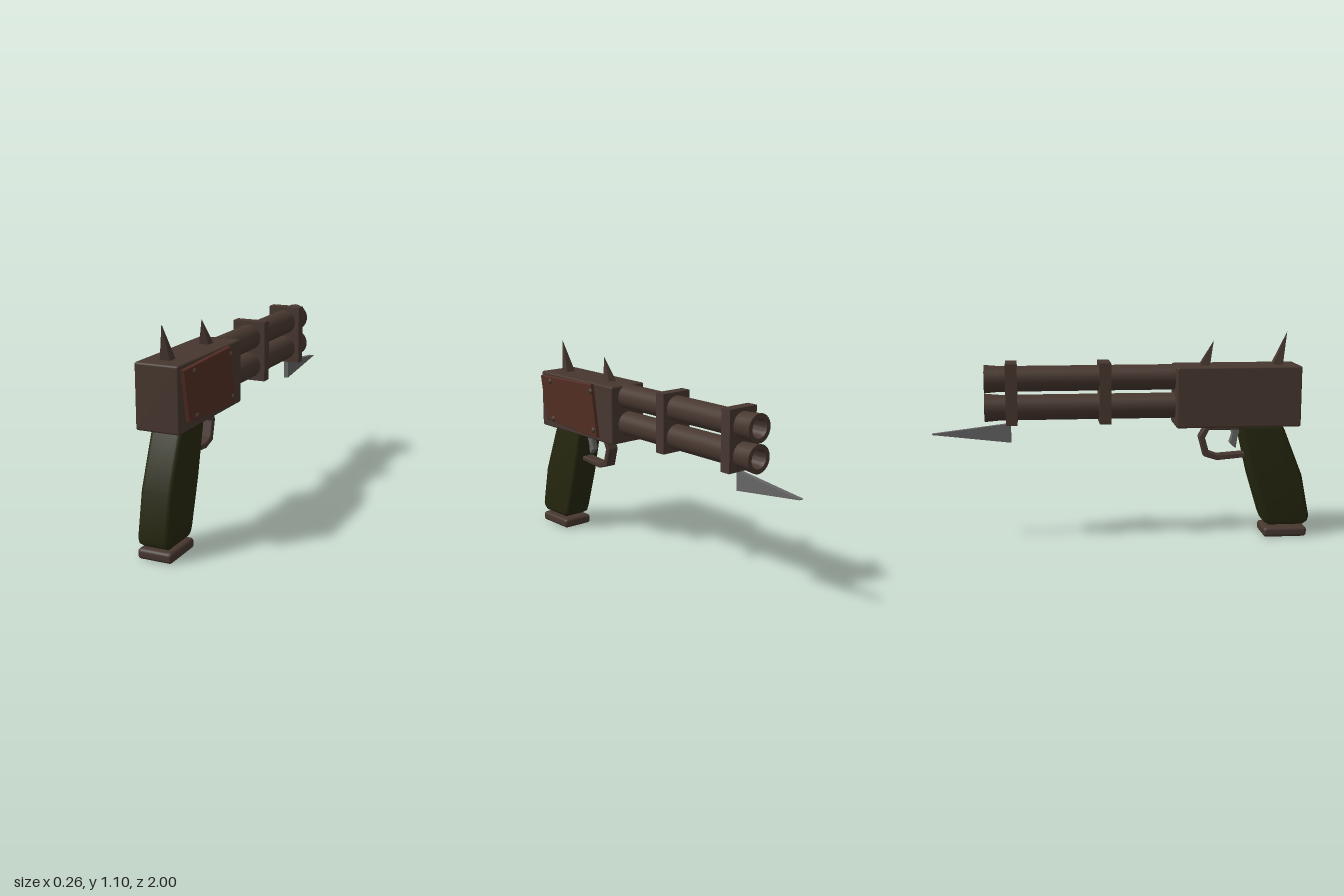
import * as THREE from 'three';
import { toCreasedNormals } from 'three/addons/utils/BufferGeometryUtils.js';
import { RoundedBoxGeometry } from 'three/addons/geometries/RoundedBoxGeometry.js';

const CX = -0.016; // centre plane of the gun

const material = (name, color) => {
  const m = new THREE.MeshStandardMaterial({ color });
  m.name = name;
  return m;
};

export function createModel() {
  const gun = new THREE.Group();
  gun.name = 'doubleBarrelPistol';
  const iron = material('brown iron', 0x47372f);
  const rust = material('rusty plate', 0x522d23);
  const green = material('dark green grip', 0x26270f);
  const steel = material('grey steel', 0x666666);

  const add = (name, geometry, mat, x = 0, y = 0, z = 0) => {
    const mesh = new THREE.Mesh(geometry, mat);
    mesh.name = name;
    mesh.position.set(x, y, z);
    gun.add(mesh);
    return mesh;
  };

  // Side outline of [z, y] points, extruded across x and centred on x = 0
  const sideExtrude = (points, width, bevel = 0, segments = 1, hole = null) => {
    const shape = new THREE.Shape(points.map(p => new THREE.Vector2(...p)));
    if (hole) shape.holes.push(new THREE.Path(hole.map(p => new THREE.Vector2(...p))));
    const depth = width - 2 * bevel;
    const g = new THREE.ExtrudeGeometry(shape, {
      depth, steps: 1, bevelEnabled: bevel > 0, bevelSize: bevel,
      bevelThickness: bevel, bevelOffset: -bevel, bevelSegments: segments,
    });
    g.translate(0, 0, -depth / 2).rotateY(-Math.PI / 2);
    return toCreasedNormals(g, 0.6);
  };

  // Receiver
  add('receiver', new RoundedBoxGeometry(0.225, 0.32, 0.66, 2, 0.01), iron, CX, 0.768, 0.6);

  // Hollow barrels with flared muzzles, and the bands that join them
  const barrelProfile = [
    [0, 0], [0.067, 0], [0.067, 0.94], [0.074, 1.02], [0.05, 1.02], [0.045, 1.0], [0.045, 0.8], [0, 0.8],
  ].map(p => new THREE.Vector2(...p));
  const barrel = toCreasedNormals(new THREE.LatheGeometry(barrelProfile, 28).rotateX(-Math.PI / 2), 0.6);
  add('upperBarrel', barrel, iron, CX, 0.866, 0.295);
  add('lowerBarrel', barrel, iron, CX, 0.715, 0.295);
  for (const z of [-0.1, -0.585]) {
    add('barrelBand', new THREE.BoxGeometry(0.18, 0.318, 0.06), iron, CX, 0.792, z);
  }

  // Bayonet
  add('bayonet', sideExtrude([[-0.59, 0.53], [-0.59, 0.632], [-1, 0.582], [-1, 0.578]], 0.026), steel, CX);

  // Riveted plate on the left side
  add('sidePlate', sideExtrude([[0.91, 0.908], [0.43, 0.924], [0.382, 0.632], [0.86, 0.655]], 0.024, 0.003), rust, 0.106);
  const rivet = new THREE.SphereGeometry(0.016, 12, 6, 0, Math.PI * 2, 0, Math.PI / 2)
    .rotateZ(-Math.PI / 2).scale(0.75, 1, 1);
  for (const [z, y] of [[0.815, 0.885], [0.43, 0.885], [0.79, 0.67], [0.41, 0.67]]) {
    add('rivet', rivet, iron, 0.1165, y, z);
  }

  // Four-sided spikes leaning backwards
  const spike = (name, z, tipZ, tipY) => {
    const base = 0.915, h = tipY - base;
    const g = new THREE.ConeGeometry(0.04, h, 4, 1).toNonIndexed();
    g.rotateY(Math.PI / 4).translate(0, h / 2, 0);
    const p = g.attributes.position;
    for (let i = 0; i < p.count; i++) {
      p.setZ(i, p.getZ(i) + (p.getY(i) / h) * (tipZ - z));
    }
    g.computeVertexNormals();
    add(name, g, iron, CX, base, z);
  };
  spike('rearSpike', 0.815, 0.87, 1.1);
  spike('frontSpike', 0.425, 0.478, 1.055);

  // Grip and its foot
  add('grip', sideExtrude([
    [0.865, 0.615], [0.84, 0.59], [0.955, 0.335], [1, 0.11], [0.992, 0.082], [0.965, 0.064],
    [0.785, 0.064], [0.757, 0.08], [0.742, 0.115], [0.675, 0.335], [0.61, 0.615],
  ].map(([z, y], i) => (i === 0 ? [0.835, 0.615] : i === 1 ? [0.853, 0.59] : [z, y])), 0.164, 0.022, 3), green, CX);
  add('gripFoot', new RoundedBoxGeometry(0.181, 0.053, 0.235, 3, 0.018), iron, CX, 0.0265, 0.868);

  // Trigger guard and trigger
  add('triggerGuard', sideExtrude(
    [[0.67, 0.612], [0.44, 0.612], [0.402, 0.545], [0.43, 0.44], [0.5, 0.418], [0.7, 0.436]], 0.065, 0.004, 1,
    [[0.65, 0.582], [0.455, 0.582], [0.434, 0.54], [0.455, 0.466], [0.505, 0.447], [0.68, 0.46]],
  ), iron, CX);
  add('trigger', sideExtrude(
    [[0.635, 0.6], [0.575, 0.6], [0.582, 0.555], [0.568, 0.51], [0.603, 0.477], [0.612, 0.54]], 0.035, 0.004,
  ), steel, CX);

  return gun;
}
